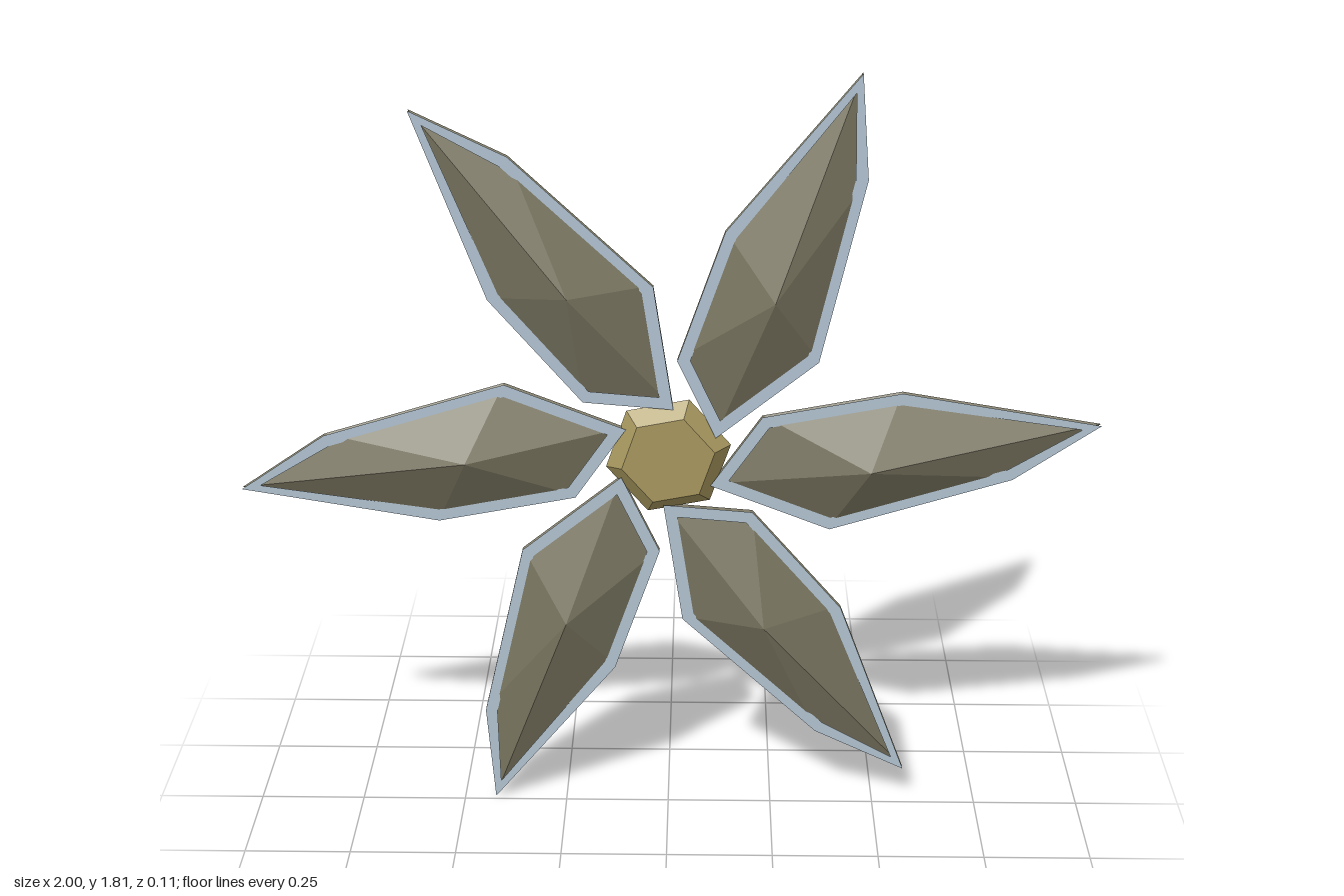
import * as THREE from 'three';

const CENTRE_Y = 0.91;
const RIM_Z = -0.027;

// Petal outline (counter-clockwise) about the hub centre, and its ridge peak
const OUTLINE = [
  [0.998, 0.086], [0.538, 0.163], [0.217, 0.102],
  [0.098, -0.07], [0.378, -0.179], [0.8, -0.05],
].map(([x, y]) => new THREE.Vector2(x, y));
const PEAK = [0.467, -0.008, 0.055];

// Moves each corner inward along its bisector, with a limit at sharp corners
function inset(points, width, limit) {
  const n = points.length;
  return points.map((p, i) => {
    const a = points[(i + n - 1) % n].clone().sub(p).normalize();
    const b = points[(i + 1) % n].clone().sub(p).normalize();
    const sinHalf = Math.sqrt((1 - a.dot(b)) / 2);
    return a.add(b).normalize().multiplyScalar(Math.min(width / sinHalf, limit)).add(p);
  });
}

// Faceted shell: one triangle from each outline edge up to the peak
function petalGeometry() {
  const pos = [];
  OUTLINE.forEach((p, i) => {
    const q = OUTLINE[(i + 1) % OUTLINE.length];
    pos.push(p.x, p.y, RIM_Z, q.x, q.y, RIM_Z, ...PEAK);
  });
  const geo = new THREE.BufferGeometry();
  geo.setAttribute('position', new THREE.Float32BufferAttribute(pos, 3));
  geo.computeVertexNormals();
  return geo;
}

// Flat border following the petal outline
function borderGeometry() {
  const shape = new THREE.Shape(OUTLINE);
  shape.holes.push(new THREE.Path(inset(OUTLINE, 0.028, 0.045)));
  return new THREE.ShapeGeometry(shape).translate(0, 0, -0.013);
}

// Six-sided hub, bevelled on both faces
function hubGeometry() {
  const profile = [[0, -0.055], [0.105, -0.055], [0.148, -0.028], [0.11, 0.006], [0, 0.006]]
    .map(([r, y]) => new THREE.Vector2(r, y));
  const geo = new THREE.LatheGeometry(profile, 6).toNonIndexed();
  geo.rotateX(Math.PI / 2);
  geo.rotateZ(THREE.MathUtils.degToRad(-19));
  geo.computeVertexNormals();
  return geo;
}

export function createModel() {
  const olive = new THREE.MeshStandardMaterial({ color: 0x78745f, side: THREE.DoubleSide, flatShading: true });
  olive.name = 'olive grey';
  const blue = new THREE.MeshStandardMaterial({ color: 0xb2c4d2, side: THREE.DoubleSide });
  blue.name = 'pale blue';
  const gold = new THREE.MeshStandardMaterial({ color: 0xa8985f, flatShading: true });
  gold.name = 'dull gold';

  const flower = new THREE.Group();
  flower.name = 'flower';
  flower.position.y = CENTRE_Y;

  // Six petals around the hub
  const shellGeo = petalGeometry();
  const rimGeo = borderGeometry();
  for (let i = 0; i < 6; i++) {
    const petal = new THREE.Group();
    petal.name = `petal${i + 1}`;
    const shell = new THREE.Mesh(shellGeo, olive);
    shell.name = 'petalShell';
    const border = new THREE.Mesh(rimGeo, blue);
    border.name = 'petalBorder';
    petal.add(shell, border);
    petal.rotation.z = (i * Math.PI) / 3;
    flower.add(petal);
  }

  const hub = new THREE.Mesh(hubGeometry(), gold);
  hub.name = 'hub';
  flower.add(hub);

  const model = new THREE.Group();
  model.name = 'petalOrnament';
  model.add(flower);
  return model;
}
